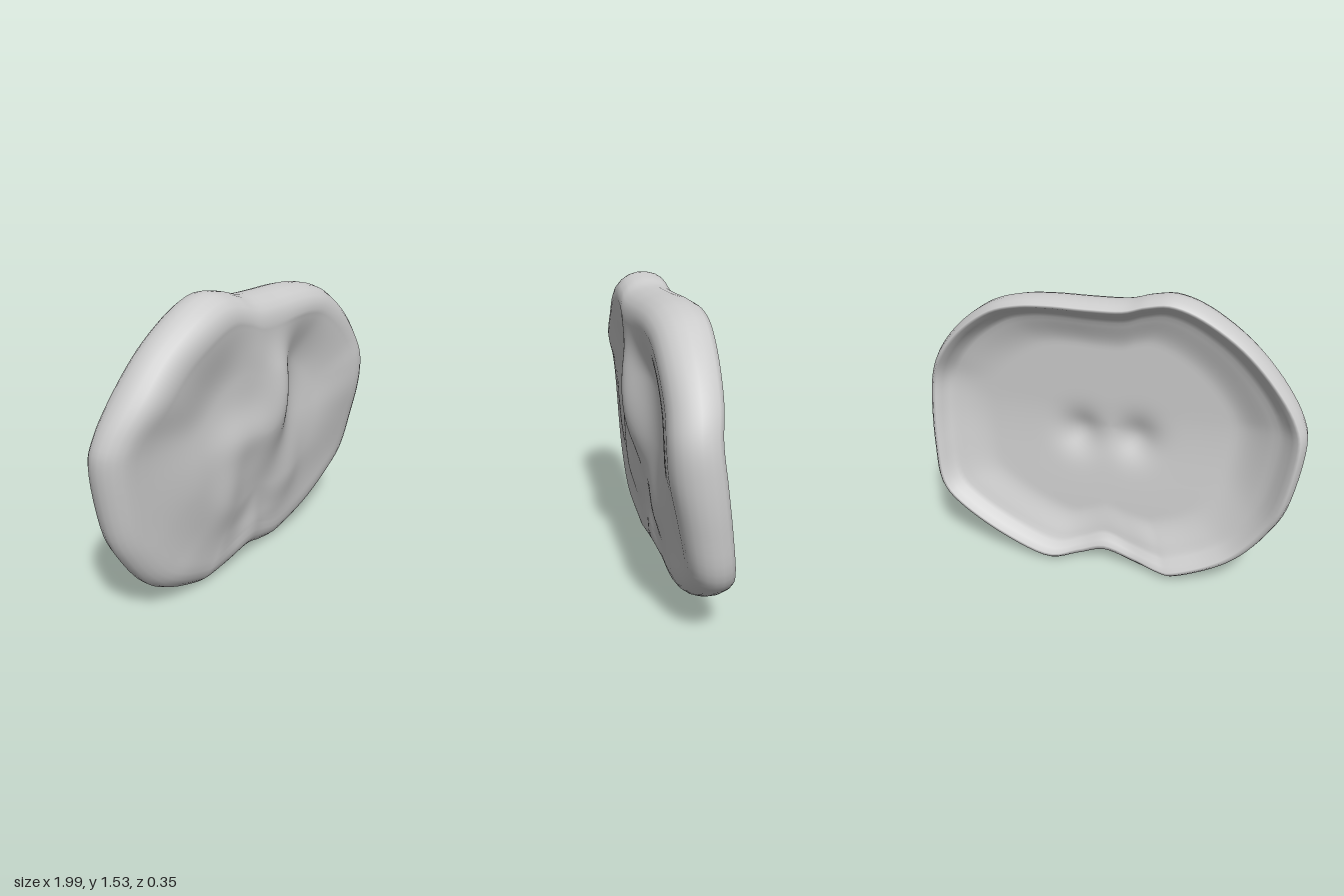
import * as THREE from 'three';
import { mergeVertices } from 'three/addons/utils/BufferGeometryUtils.js';

const CX = 0, CY = 0.78; // hub from which the dish is swept

// Rim outline, counter-clockwise from the lower notch: x, y, z of front crest, z of back lip
const RIM = [
  [0, 0.07, 0.02, -0.11], [0.15, 0.03, 0, -0.125], [0.32, 0.005, 0, -0.17], [0.58, 0.1, 0.03, -0.165],
  [0.83, 0.25, 0.05, -0.15], [0.95, 0.38, 0.07, -0.13], [0.985, 0.6, 0.11, -0.1], [0.995, 0.82, 0.15, -0.07],
  [0.98, 1.0, 0.16, -0.05], [0.91, 1.15, 0.15, -0.07], [0.78, 1.3, 0.145, -0.09], [0.61, 1.42, 0.14, -0.11],
  [0.45, 1.47, 0.14, -0.12], [0.28, 1.485, 0.14, -0.12], [0.08, 1.485, 0.14, -0.12], [-0.1, 1.49, 0.14, -0.12],
  [-0.22, 1.52, 0.13, -0.12], [-0.35, 1.53, 0.125, -0.12], [-0.51, 1.47, 0.12, -0.12], [-0.7, 1.34, 0.1, -0.125],
  [-0.86, 1.17, 0.085, -0.135], [-0.97, 1.0, 0.04, -0.15], [-0.998, 0.85, 0.02, -0.165], [-0.95, 0.54, 0.01, -0.165],
  [-0.87, 0.36, 0.01, -0.15], [-0.75, 0.2, 0.01, -0.15], [-0.61, 0.1, 0.01, -0.165], [-0.42, 0.02, 0, -0.18],
  [-0.33, 0.008, 0, -0.165], [-0.17, 0.03, 0, -0.12],
];

// Rolled edge, front to back: inset from the outline, share of the way from crest to lip
const EDGE = [
  [0.14, 0], [0.1, 0.02], [0.065, 0.08], [0.035, 0.19], [0.012, 0.34], [0, 0.52], [0, 0.7],
  [0.012, 0.88], [0.03, 0.99], [0.045, 0.98], [0.07, 0.85], [0.1, 0.68],
];

const bump = (x, y, cx, cy, sx, sy) => Math.exp(-(((x - cx) / sx) ** 2) - ((y - cy) / sy) ** 2);

// Front face: two shallow hollows, a central spine and a low arch around a lower pit
function frontZ(x, y) {
  const lean = 0.085 - 0.06 * THREE.MathUtils.smoothstep(0.8 - y, 0, 0.7);
  return lean + 0.02 * x
    + 0.085 * bump(x, y, 0.07, 0.95, 0.12, 0.26)
    + 0.05 * bump(x, y, -0.01, 1.25, 0.2, 0.25)
    + 0.025 * bump(x, y, -0.17, 0.8, 0.2, 0.12)
    + 0.02 * bump(x, y, -0.27, 0.52, 0.1, 0.25)
    + 0.02 * bump(x, y, 0.27, 0.45, 0.1, 0.25)
    - 0.035 * bump(x, y, 0.33, 1.0, 0.22, 0.35)
    - 0.025 * bump(x, y, -0.42, 1.0, 0.28, 0.3)
    - 0.015 * bump(x, y, 0.04, 0.42, 0.16, 0.18)
    + 0.02 * bump(x, y, 0, 0.2, 0.2, 0.06);
}

// Back face: a bowl following the front, with two small pits either side of a bridge
function backZ(x, y) {
  const lean = 0.025 - 0.07 * THREE.MathUtils.smoothstep(0.9 - y, 0, 0.8);
  return lean + 0.01 * x
    + 0.05 * bump(x, y, 0.16, 0.73, 0.11, 0.11)
    + 0.05 * bump(x, y, -0.14, 0.73, 0.11, 0.11);
}

function dishGeometry(around = 144, rings = 30) {
  const curve = (k) => new THREE.CatmullRomCurve3(
    RIM.map((p) => new THREE.Vector3(p[0], p[1], p[k])), true, 'catmullrom', 0.5);
  const crest = curve(2), lip = curve(3);
  const rows = rings + EDGE.length + rings;
  const pos = [], index = [];

  for (let i = 0; i < rows; i++) {
    for (let j = 0; j < around; j++) {
      const f = crest.getPoint(j / around), b = lip.getPoint(j / around);
      const dx = f.x - CX, dy = f.y - CY, r = Math.hypot(dx, dy);
      const place = (s) => [CX + dx * s, CY + dy * s];
      const edgeZ = (t) => THREE.MathUtils.lerp(f.z, b.z, t);
      if (i >= rings && i < rings + EDGE.length) {
        const [inset, t] = EDGE[i - rings];
        pos.push(...place(1 - inset / r), edgeZ(t));
        continue;
      }
      // Inside the rim each face blends from its edge height into its own relief
      const front = i < rings;
      const u = front ? i / rings : (rows - 1 - i) / rings;
      const [inset, t] = front ? EDGE[0] : EDGE[EDGE.length - 1];
      const [x, y] = place(u * (1 - inset / r));
      const w = THREE.MathUtils.smoothstep(u, front ? 0.55 : 0.72, 1.06);
      pos.push(x, y, THREE.MathUtils.lerp(front ? frontZ(x, y) : backZ(x, y), edgeZ(t), w));
    }
  }
  for (let i = 0; i < rows - 1; i++) {
    for (let j = 0; j < around; j++) {
      const n = (j + 1) % around;
      const a = i * around + j, b = a + around, c = (i + 1) * around + n, d = i * around + n;
      if (i < rows - 2) index.push(a, b, c);
      else index.push(a, b, d);
      if (i > 0 && i < rows - 2) index.push(a, c, d);
    }
  }
  const g = new THREE.BufferGeometry();
  g.setAttribute('position', new THREE.Float32BufferAttribute(pos, 3));
  g.setIndex(index);
  const merged = mergeVertices(g, 1e-5);
  merged.computeVertexNormals();
  return merged;
}

export function createModel() {
  const group = new THREE.Group();
  group.name = 'plateau';
  const dish = new THREE.Mesh(
    dishGeometry(),
    new THREE.MeshStandardMaterial({ color: 0xcccccc, side: THREE.DoubleSide }));
  dish.name = 'dishShell';
  group.add(dish);
  return group;
}
